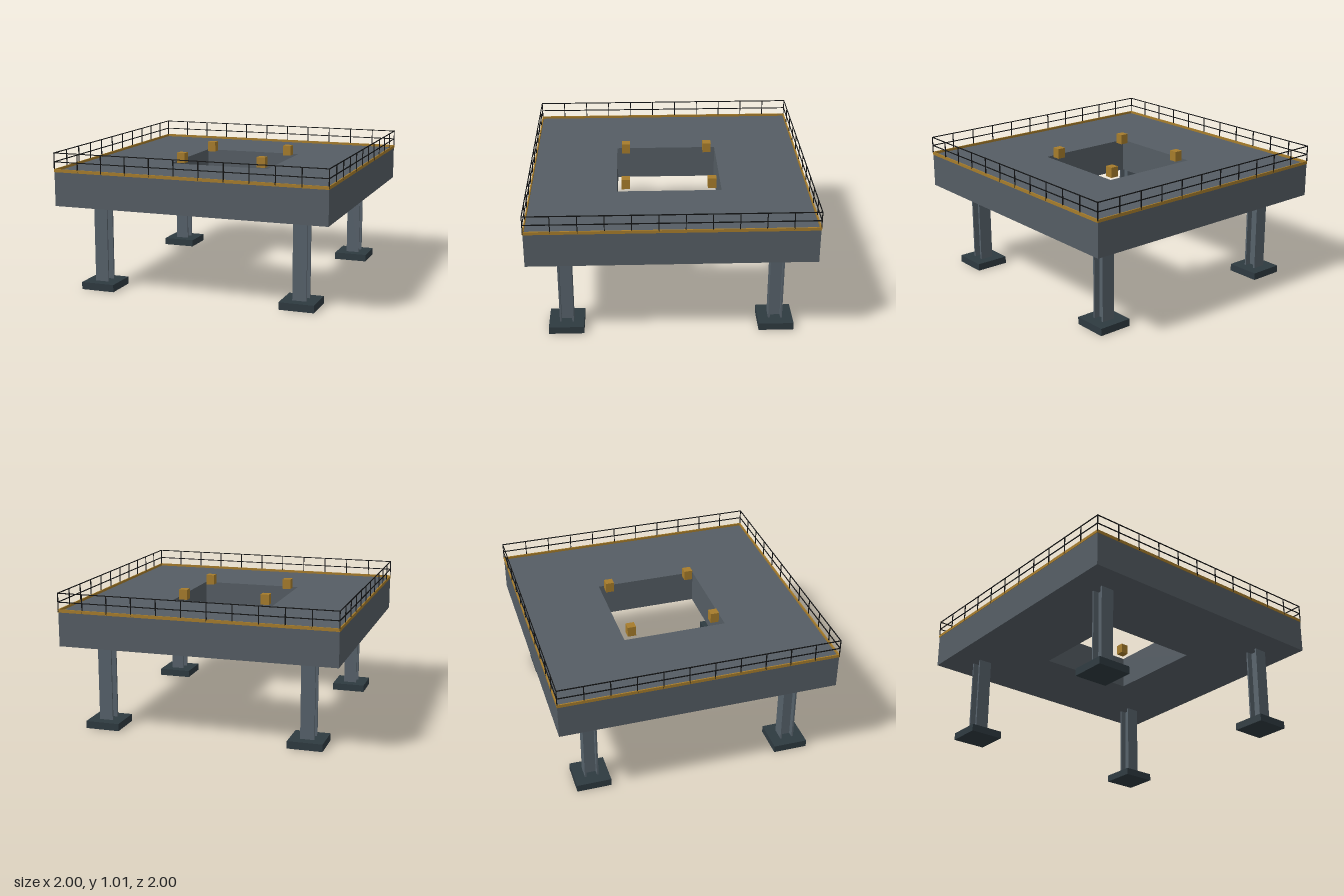
import * as THREE from 'three';

const material = (name, color, opts = {}) => {
  const m = new THREE.MeshStandardMaterial({ color, ...opts });
  m.name = name;
  return m;
};

export function createModel() {
  const model = new THREE.Group();
  model.name = 'platform';
  const deckGrey = material('deck grey', 0x555d64);
  const steel = material('column steel', 0x56616a);
  const footingGrey = material('dark footing', 0x2e3a40);
  const ochre = material('safety ochre', 0xa67c2b);
  const railBlack = material('rail black', 0x121314);

  const box = (parent, name, mat, size, pos) => {
    const mesh = new THREE.Mesh(new THREE.BoxGeometry(...size), mat);
    mesh.name = name;
    mesh.position.set(...pos);
    parent.add(mesh);
    return mesh;
  };
  const square = (Type, r) => new Type([
    new THREE.Vector2(-r, -r), new THREE.Vector2(r, -r),
    new THREE.Vector2(r, r), new THREE.Vector2(-r, r),
  ]);

  // Thick deck with a square opening
  const deckBottom = 0.63, deckTop = 0.877, half = 0.997;
  const outline = square(THREE.Shape, half);
  outline.holes.push(square(THREE.Path, 0.376));
  const deckGeometry = new THREE.ExtrudeGeometry(outline, { depth: deckTop - deckBottom, bevelEnabled: false });
  deckGeometry.rotateX(-Math.PI / 2);
  const deck = new THREE.Mesh(deckGeometry, deckGrey);
  deck.name = 'deck';
  deck.position.y = deckBottom;
  model.add(deck);

  // H-section columns on square footings, and corner blocks in the opening
  const w = 0.05, flange = 0.012, web = 0.006, footTop = 0.053;
  const profile = new THREE.Shape([
    [-w, -w], [w, -w], [w, -w + flange], [web, -w + flange], [web, w - flange], [w, w - flange],
    [w, w], [-w, w], [-w, w - flange], [-web, w - flange], [-web, -w + flange], [-w, -w + flange],
  ].map(([x, y]) => new THREE.Vector2(x, y)));
  const columnGeometry = new THREE.ExtrudeGeometry(profile, { depth: deckBottom - footTop, bevelEnabled: false });
  columnGeometry.rotateX(-Math.PI / 2);
  for (const sx of [-1, 1]) {
    for (const sz of [-1, 1]) {
      const leg = new THREE.Group();
      leg.name = 'leg';
      leg.position.set(sx * 0.747, 0, sz * 0.747);
      const column = new THREE.Mesh(columnGeometry, steel);
      column.name = 'column';
      column.position.y = footTop;
      leg.add(column);
      box(leg, 'footing', footingGrey, [0.25, footTop, 0.25], [0, footTop / 2, 0]);
      model.add(leg);
      box(model, 'guideBlock', ochre, [0.062, 0.075, 0.062], [sx * 0.311, 0.914, sz * 0.311]);
    }
  }

  // One guard rail per side: toe board, two rails and evenly spaced posts
  const railTop = 1.012, t = 0.006, bays = 11, edge = 1 - t / 2;
  for (let side = 0; side < 4; side++) {
    const rail = new THREE.Group();
    rail.name = 'guardRail';
    rail.rotation.y = side * Math.PI / 2;
    box(rail, 'toeBoard', ochre, [2, 0.022, 0.009], [0, 0.884, 0.9955]);
    for (const y of [railTop - t / 2, 0.946]) box(rail, 'railBar', railBlack, [2, t, t], [0, y, edge]);
    for (let i = 0; i < bays; i++) {
      const x = -edge + (2 * edge * i) / bays;
      box(rail, 'railPost', railBlack, [t, railTop - deckTop, t], [x, (railTop + deckTop) / 2, edge]);
    }
    model.add(rail);
  }
  return model;
}
